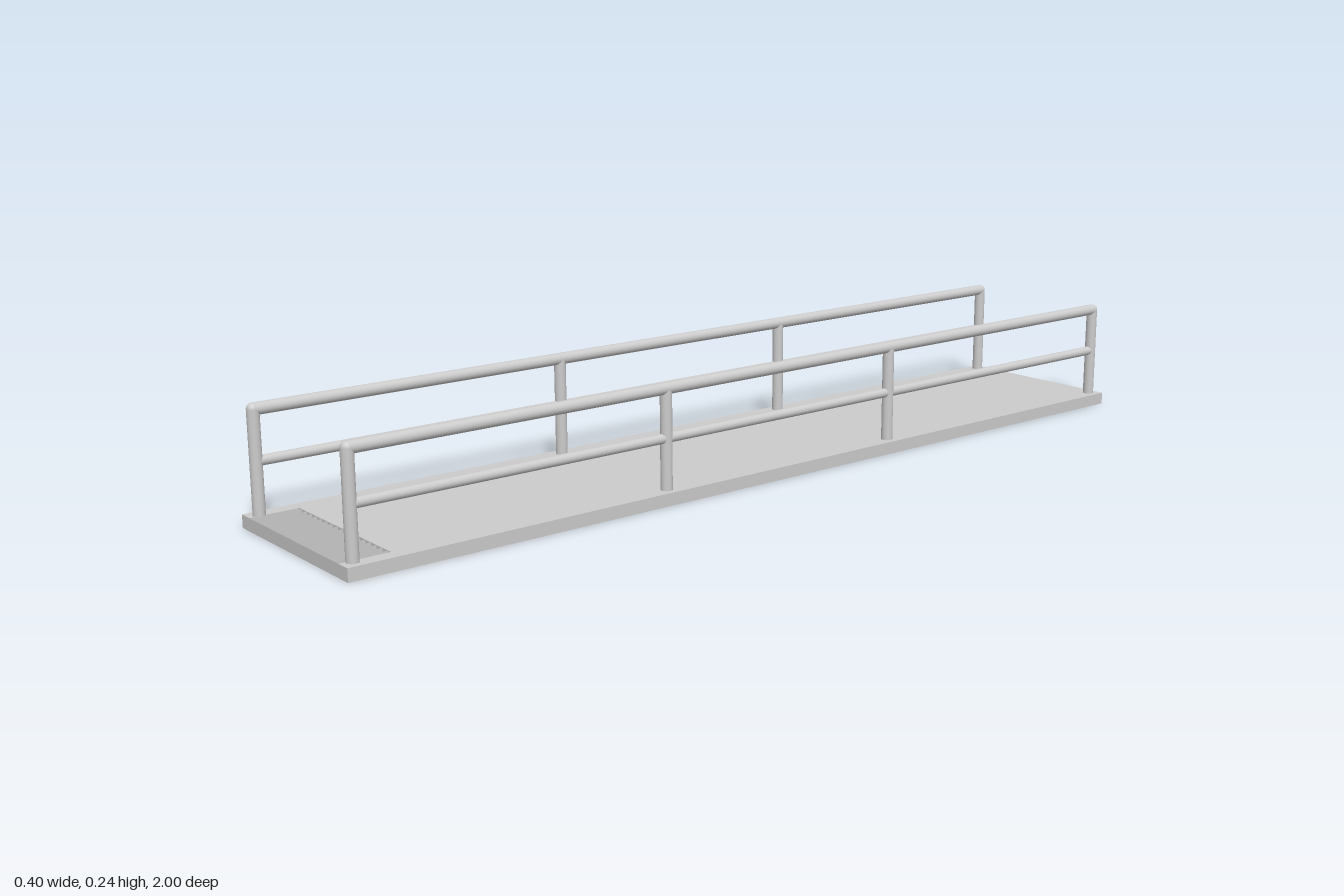
import * as THREE from 'three';

const grey = new THREE.MeshStandardMaterial({ color: 0xcccccc });
const thin = new THREE.MeshStandardMaterial({ color: 0xcccccc, side: THREE.DoubleSide });

const THICK = 0.026;              // deck thickness
const RAIL_X = 0.176, RAIL_Y = 0.227, END_Z = 0.977, R = 0.012;

function add(parent, name, geometry, x, y, z, material = grey) {
  const mesh = new THREE.Mesh(geometry, material);
  mesh.name = name;
  mesh.position.set(x, y, z);
  parent.add(mesh);
  return mesh;
}

export function createModel() {
  const model = new THREE.Group();
  model.name = 'walkway';

  // Deck with a notch at the front for the grating
  const outline = new THREE.Shape([
    [-0.2, -1], [-0.17, -1], [-0.17, -0.9], [0.17, -0.9],
    [0.17, -1], [0.2, -1], [0.2, 1], [-0.2, 1],
  ].map(([x, y]) => new THREE.Vector2(x, y)));
  const deck = new THREE.ExtrudeGeometry(outline, { depth: THICK, bevelEnabled: false });
  deck.rotateX(-Math.PI / 2);
  add(model, 'deck', deck, 0, 0, 0);

  // Grating: thin upright slats closed by a thin front plate
  const grating = new THREE.Group();
  grating.name = 'grating';
  const slat = new THREE.PlaneGeometry(0.1, THICK).rotateY(Math.PI / 2);
  for (let i = -8; i <= 8; i++) add(grating, 'slat', slat, i * 0.02, THICK / 2, 0.95, thin);
  add(grating, 'frontPlate', new THREE.PlaneGeometry(0.34, THICK), 0, THICK / 2, 1, thin);
  model.add(grating);

  // Handrails, one on each side
  const post = new THREE.CylinderGeometry(R, R, RAIL_Y - THICK, 24);
  const topRail = new THREE.CylinderGeometry(R, R, END_Z * 2, 24).rotateX(Math.PI / 2);
  const midRail = new THREE.CylinderGeometry(0.01, 0.01, END_Z * 2, 24).rotateX(Math.PI / 2);
  const corner = new THREE.SphereGeometry(R, 24, 16);
  for (const side of [-1, 1]) {
    const rail = new THREE.Group();
    rail.name = side > 0 ? 'leftHandrail' : 'rightHandrail';
    rail.position.x = side * RAIL_X;
    for (const z of [-END_Z, -0.3, 0.3, END_Z]) add(rail, 'post', post, 0, (RAIL_Y + THICK) / 2, z);
    add(rail, 'topRail', topRail, 0, RAIL_Y, 0);
    add(rail, 'midRail', midRail, 0, 0.129, 0);
    for (const z of [-END_Z, END_Z]) add(rail, 'railCorner', corner, 0, RAIL_Y, z);
    model.add(rail);
  }
  return model;
}
